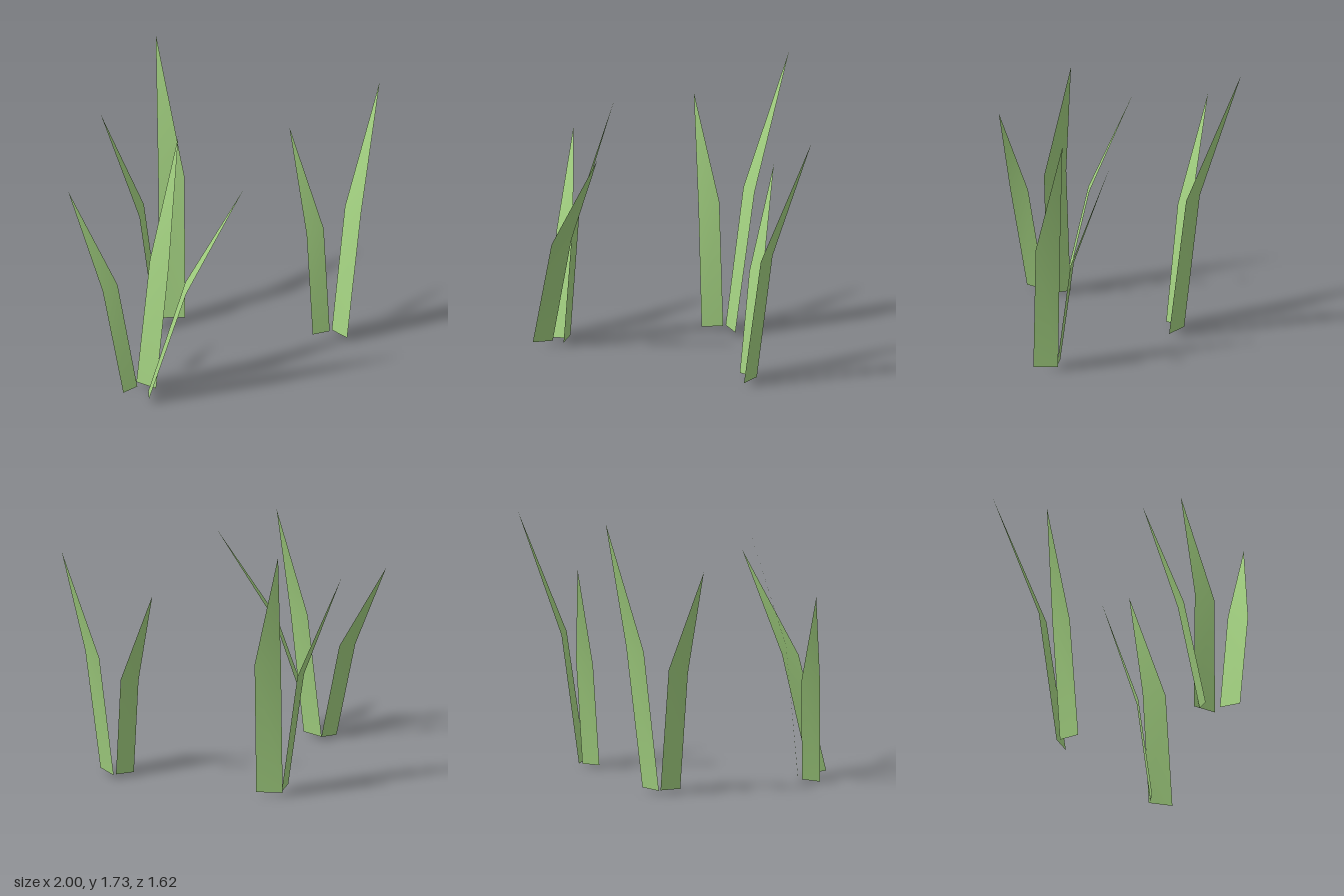
import * as THREE from 'three';

const grassGreen = new THREE.MeshStandardMaterial({ color: 0xa2d080, side: THREE.DoubleSide });
grassGreen.name = 'grassGreen';

// Each blade: two base corners, two bend corners, one tip
const clumps = {
  backClump: [
    [[-0.34, 0.03, -0.395], [-0.18, 0.03, -0.375], [-0.325, 0.9, -0.51], [-0.165, 0.91, -0.5], [-0.295, 1.73, -0.81]],
    [[-0.38, 0.03, -0.25], [-0.335, 0.03, -0.375], [-0.475, 0.76, -0.28], [-0.43, 0.79, -0.4], [-0.7, 1.42, -0.37]],
  ],
  rightClump: [
    [[-0.615, 0.03, 0.53], [-0.51, 0.025, 0.635], [-0.53, 0.83, 0.515], [-0.43, 0.81, 0.615], [-0.335, 1.58, 0.38]],
    [[-0.71, 0.005, 0.625], [-0.615, 0.015, 0.565], [-0.82, 0.64, 0.515], [-0.72, 0.65, 0.455], [-1, 1.22, 0.3]],
    [[-0.58, 0.035, 0.81], [-0.565, 0.03, 0.68], [-0.35, 0.72, 0.805], [-0.335, 0.74, 0.675], [0.02, 1.34, 0.69]],
  ],
  leftClump: [
    [[0.55, 0.03, -0.01], [0.66, 0.03, -0.045], [0.525, 0.66, -0.09], [0.635, 0.68, -0.125], [0.45, 1.29, -0.3]],
    [[0.675, 0.03, -0.06], [0.75, 0.03, 0.07], [0.765, 0.82, -0.12], [0.845, 0.82, 0.005], [1, 1.575, -0.26]],
  ],
};

// Flat leaf: a lower quad and a pointed upper triangle, shaded smoothly over the bend
function makeBlade(corners) {
  const geometry = new THREE.BufferGeometry();
  geometry.setAttribute('position', new THREE.Float32BufferAttribute(corners.flat(), 3));
  geometry.setIndex([0, 1, 3, 0, 3, 2, 2, 3, 4]);
  geometry.computeVertexNormals();
  return new THREE.Mesh(geometry, grassGreen);
}

export function createModel() {
  const model = new THREE.Group();
  model.name = 'grassBlades';
  for (const [name, blades] of Object.entries(clumps)) {
    const clump = new THREE.Group();
    clump.name = name;
    blades.forEach((corners, i) => {
      const blade = makeBlade(corners);
      blade.name = `blade${i + 1}`;
      clump.add(blade);
    });
    model.add(clump);
  }
  return model;
}
